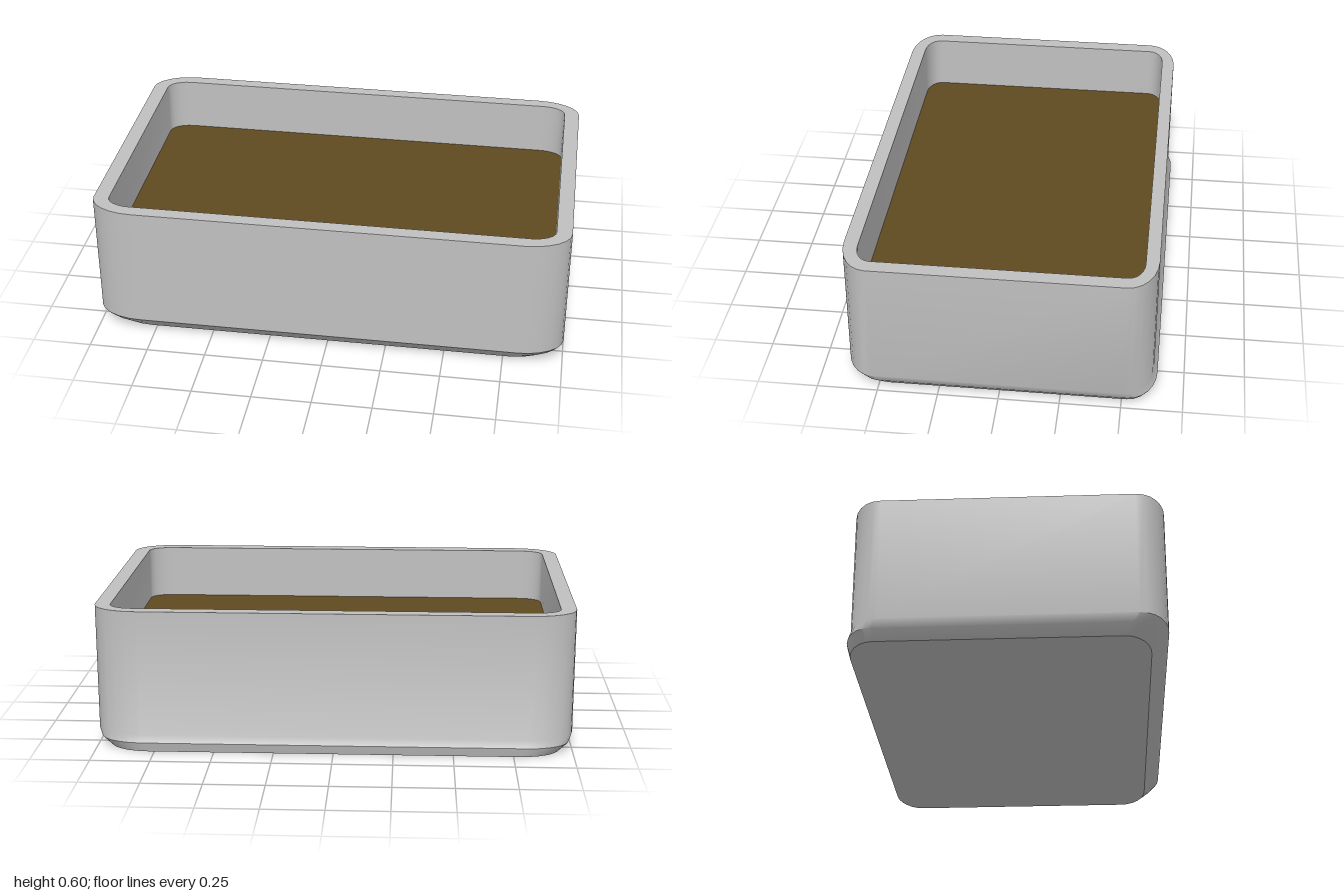
import * as THREE from 'three';
import { toCreasedNormals } from 'three/addons/utils/BufferGeometryUtils.js';

const CORNER_STEPS = 6;

// Rounded rectangle with elliptical corners at height y, from zBack to zFront.
function ring(y, halfX, zBack, zFront, rx, rz) {
  const points = [];
  const mid = (zFront + zBack) / 2, halfZ = (zFront - zBack) / 2;
  [[1, 1], [-1, 1], [-1, -1], [1, -1]].forEach(([sx, sz], q) => {
    for (let i = 0; i <= CORNER_STEPS; i++) {
      const a = (q + i / CORNER_STEPS) * Math.PI / 2;
      points.push([
        sx * (halfX - rx) + rx * Math.cos(a), y,
        mid + sz * (halfZ - rz) + rz * Math.sin(a),
      ]);
    }
  });
  return points;
}

// Skin neighbouring rings; a ring of one point closes the skin as a fan.
function skin(rings) {
  const positions = [];
  for (let r = 0; r < rings.length - 1; r++) {
    const low = rings[r], high = rings[r + 1];
    const n = Math.max(low.length, high.length);
    for (let i = 0; i < n; i++) {
      const j = (i + 1) % n;
      if (low.length === 1) positions.push(...low[0], ...high[i], ...high[j]);
      else if (high.length === 1) positions.push(...low[i], ...high[0], ...low[j]);
      else positions.push(...low[i], ...high[i], ...low[j], ...low[j], ...high[i], ...high[j]);
    }
  }
  const geometry = new THREE.BufferGeometry();
  geometry.setAttribute('position', new THREE.Float32BufferAttribute(positions, 3));
  return toCreasedNormals(geometry, 0.5);
}

export function createModel() {
  const stone = new THREE.MeshStandardMaterial({ color: 0xc0c0c0 });
  stone.name = 'pale grey stone';
  const earth = new THREE.MeshStandardMaterial({ color: 0x604a20 });
  earth.name = 'brown earth';

  const group = new THREE.Group();
  group.name = 'planter';
  const soilY = 0.37;
  const inner = (y) => ring(y, 0.935, -0.57, 0.58, 0.1, 0.065);

  // Underside, bevelled foot, outer wall, rim and inner wall
  const trough = new THREE.Mesh(skin([
    [[0, 0, -0.03]],
    ring(0, 0.945, -0.63, 0.57, 0.17, 0.11),
    ring(0.04, 0.985, -0.64, 0.61, 0.18, 0.115),
    ring(0.073, 1, -0.625, 0.64, 0.19, 0.12),
    ring(0.603, 1, -0.625, 0.64, 0.19, 0.12),
    inner(0.603),
    inner(soilY),
  ]), stone);
  trough.name = 'trough';

  // Flat soil surface inside the walls
  const soil = new THREE.Mesh(skin([inner(soilY), [[0, soilY, 0.005]]]), earth);
  soil.name = 'soil';

  group.add(trough, soil);
  return group;
}
